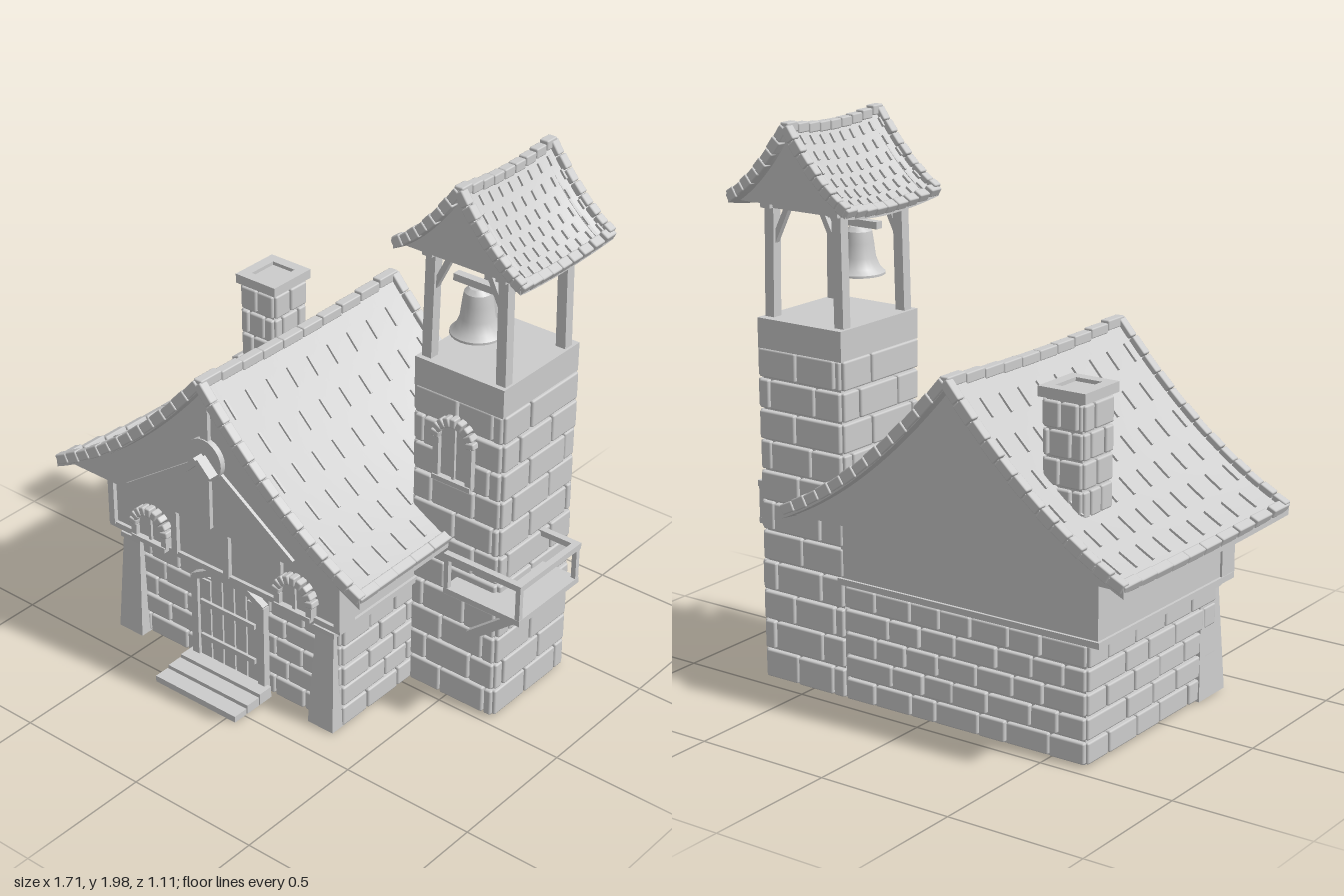
import * as THREE from 'three';
import { RoundedBoxGeometry } from 'three/addons/geometries/RoundedBoxGeometry.js';
import { toCreasedNormals } from 'three/addons/utils/BufferGeometryUtils.js';

const grey = new THREE.MeshStandardMaterial({ color: 0xcccccc });
grey.name = 'pale grey';

let seed = 7;
const rand = () => (seed = (seed * 16807) % 2147483647) / 2147483647;

function add(parent, name, geo, x = 0, y = 0, z = 0) {
  const m = new THREE.Mesh(geo, grey);
  m.name = name;
  m.position.set(x, y, z);
  parent.add(m);
  return m;
}
function group(parent, name, x = 0, y = 0, z = 0) {
  const g = new THREE.Group();
  g.name = name;
  g.position.set(x, y, z);
  parent.add(g);
  return g;
}
// Box given by its limits on each axis: x, then y, then z
function block(parent, name, x0, x1, y0, y1, z0, z1) {
  return add(parent, name, new THREE.BoxGeometry(x1 - x0, y1 - y0, z1 - z0),
    (x0 + x1) / 2, (y0 + y1) / 2, (z0 + z1) / 2);
}
// Straight timber between two points
function beam(parent, name, a, b, w, d = w) {
  const p = new THREE.Vector3(...a), q = new THREE.Vector3(...b), dir = q.clone().sub(p);
  const m = add(parent, name, new THREE.BoxGeometry(w, dir.length(), d));
  m.position.copy(p).add(q).multiplyScalar(0.5);
  m.quaternion.setFromUnitVectors(new THREE.Vector3(0, 1, 0), dir.normalize());
  return m;
}

// Solid core with staggered rounded stones on its four sides
function masonry(parent, name, x0, x1, z0, z1, y0, y1, rows, stone, proud) {
  const g = group(parent, name, (x0 + x1) / 2, 0, (z0 + z1) / 2);
  const w = x1 - x0, d = z1 - z0, h = (y1 - y0) / rows;
  add(g, name + 'Core', new THREE.BoxGeometry(w, y1 - y0, d), 0, (y0 + y1) / 2, 0);
  for (let s = 0; s < 4; s++) {
    const side = group(g, name + 'Side');
    side.rotation.y = s * Math.PI / 2;
    const len = (s % 2 ? d : w) + proud, out = (s % 2 ? w : d) / 2;
    for (let r = 0; r < rows; r++) {
      const n = Math.max(2, Math.round(len / stone));
      const cuts = [0];
      for (let i = 0; i < n; i++) {
        const c = (i + (r % 2 ? 0.35 : 0.85) + (rand() - 0.5) * 0.3) / n;
        if (c > 0.1 && c < 0.93) cuts.push(c);
      }
      cuts.push(1);
      for (let i = 0; i + 1 < cuts.length; i++) {
        const bw = (cuts[i + 1] - cuts[i]) * len - 0.006, t = proud * (1.4 + rand() * 0.6);
        add(side, 'stone', new RoundedBoxGeometry(bw, h - 0.008, t, 1, 0.007),
          ((cuts[i] + cuts[i + 1]) / 2 - 0.5) * len, y0 + h * (r + 0.5), out + proud * 0.2);
      }
    }
  }
}

// Concave gable roof with a sagging ridge, edge tiles and shingle joints
function roof(parent, name, o) {
  const g = group(parent, name, o.cx, 0, (o.z0 + o.z1) / 2);
  const halfZ = (o.z1 - o.z0) / 2;
  const point = (u, v) => {
    const t = 1 - Math.abs(u);
    return new THREE.Vector3(u * (o.half - o.bow * (1 - v * v)),
      o.eave + (o.ridge - o.eave) * (t - 0.45 * t * (1 - t)) - o.sag * (1 - v * v), v * halfZ);
  };
  const slope = (u, v) => {
    const s = Math.sign(u) || 1, a = point(u + s * 0.01, v), b = point(u - s * 0.01, v);
    return Math.atan2(a.y - b.y, a.x - b.x) + (s < 0 ? Math.PI : 0);
  };
  const bend = (zSteps, rule) => {
    const geo = new THREE.BoxGeometry(2, 1, 2, 32, 1, zSteps), p = geo.attributes.position;
    for (let i = 0; i < p.count; i++) {
      const q = rule(p.getX(i), p.getY(i) > 0, p.getZ(i));
      p.setXYZ(i, q.x, q.y, q.z);
    }
    return toCreasedNormals(geo, 0.4);
  };
  add(g, name + 'Covering', bend(20, (u, top, v) => {
    const q = point(u, v);
    if (!top) q.y -= o.thick;
    return q;
  }));
  // Gable wall at each end
  for (const end of [-1, 1]) add(g, name + 'Gable', bend(1, (u, top, v) => {
    const q = point(u * 0.97, end);
    q.y -= o.thick * 0.5;
    if (!top) q.y = Math.min(q.y - 0.005, o.base);
    q.z = end * (halfZ - o.inset - 0.015) + v * 0.015;
    return q;
  }));
  const tile = (u, v, w, h, d) => {
    const p = point(u, v);
    const m = add(g, name + 'Tile', new RoundedBoxGeometry(w, h, d, 1, 0.005), p.x, p.y, p.z);
    m.rotation.z = u ? slope(u, v) : 0;
  };
  // Verge tiles
  for (const v of [-1, 1]) for (const s of [-1, 1]) for (let i = 0; i < o.verge; i++) {
    const u = s * (i + 0.5) / o.verge;
    const l = point(s * i / o.verge, v).distanceTo(point(s * (i + 1) / o.verge, v));
    tile(u, v * (1 - 0.012 / halfZ), l - 0.003, o.rim + (i % 2) * 0.006, o.rim);
  }
  // Ridge and eave tiles
  for (let i = 0; i < o.along; i++) {
    const v = (i + 0.5) / o.along * 2 - 1, l = 2 * halfZ / o.along - 0.003;
    tile(0, v, o.rim, o.rim, l);
    for (const s of [-1, 1]) tile(s * 0.985, v, o.rim, o.rim * 0.9, l);
  }
  // Joints between shingles
  for (const s of [-1, 1]) for (let c = 0; c < o.cols; c++) for (let r = 0; r < o.rows; r++) {
    const u = s * (c + 0.8) / (o.cols + 0.6), v = ((r + (c % 2 ? 0.25 : 0.75)) / o.rows * 2 - 1) * 0.92;
    const p = point(u, v);
    const m = add(g, 'shingleJoint', new THREE.BoxGeometry(o.joint, 0.012, 0.009), p.x, p.y + 0.003, p.z);
    m.rotation.z = slope(u, v);
  }
}

// Arched window facing +z with a ring of stones
function archWindow(parent, name, x, y, z, r, legs) {
  const g = group(parent, name, x, y, z);
  const s = new THREE.Shape();
  s.moveTo(-r, -legs);
  s.lineTo(r, -legs);
  s.lineTo(r, 0);
  s.absarc(0, 0, r, 0, Math.PI, false);
  s.lineTo(-r, -legs);
  add(g, 'pane', new THREE.ExtrudeGeometry(s, { depth: 0.008, bevelEnabled: false, curveSegments: 10 }));
  block(g, 'mullion', -0.006, 0.006, -legs, r, 0, 0.018);
  for (let i = 0; i < 9; i++) {
    const a = (i + 0.5) / 9 * Math.PI;
    const m = add(g, 'archStone', new RoundedBoxGeometry(0.034, (r + 0.017) * Math.PI / 9 - 0.003, 0.04, 1, 0.005),
      Math.cos(a) * (r + 0.015), Math.sin(a) * (r + 0.015), 0.01);
    m.rotation.z = a;
  }
  for (const k of [-1, 1]) block(g, 'jamb', k * (r + 0.01) - 0.012, k * (r + 0.01) + 0.012, -legs, 0, -0.01, 0.025);
  block(g, 'sill', -r - 0.02, r + 0.02, -legs - 0.012, -legs + 0.006, -0.01, 0.03);
}

export function createModel() {
  const model = new THREE.Group();
  model.name = 'chapel';

  // House: stone ground floor and timber band above
  const house = group(model, 'house');
  masonry(house, 'houseWall', -0.635, 0.33, -0.44, 0.33, 0.015, 0.43, 5, 0.15, 0.016);
  block(house, 'upperWall', -0.685, 0.355, 0.435, 0.67, -0.45, 0.365);
  block(house, 'sillBeam', -0.695, 0.365, 0.43, 0.452, -0.46, 0.378);
  block(house, 'topBeam', -0.705, 0.375, 0.645, 0.672, -0.455, 0.395);
  for (const x of [-0.68, -0.38, -0.14, 0.095, 0.352]) block(house, 'wallPost', x - 0.013, x + 0.013, 0.445, 0.65, 0.3, 0.382);
  for (const x of [-0.49, 0.17]) archWindow(house, 'houseWindow', x, 0.495, 0.37, 0.06, 0.045);
  for (const x of [-0.605, 0.285]) {
    const b = add(house, 'buttress', new THREE.CylinderGeometry(0.055, 0.078, 0.385, 4, 1).rotateY(Math.PI / 4).toNonIndexed(), x, 0.2075, 0.305);
    b.geometry.computeVertexNormals();
    b.scale.z = 1.5;
    block(house, 'buttressCap', x - 0.046, x + 0.046, 0.395, 0.415, 0.24, 0.37);
  }

  // Door of planks with bars, frame and steps
  const door = group(model, 'door', -0.145, 0, 0.35);
  for (let i = -2; i <= 2; i++) block(door, 'plank', i * 0.055 - 0.024, i * 0.055 + 0.024, 0.04, 0.41 - i * i * 0.008, -0.01, 0.016);
  block(door, 'doorBack', -0.15, 0.15, 0.03, 0.385, -0.02, 0.008);
  for (const y of [0.14, 0.285]) block(door, 'doorBar', -0.125, 0.125, y - 0.01, y + 0.01, 0, 0.027);
  for (const s of [-1, 1]) {
    block(door, 'doorJamb', s * 0.153 - 0.015, s * 0.153 + 0.015, 0.03, 0.38, -0.01, 0.025);
    beam(door, 'doorArch', [s * 0.16, 0.375, 0.007], [s * 0.085, 0.417, 0.007], 0.024, 0.035);
  }
  block(door, 'doorLintel', -0.095, 0.095, 0.408, 0.43, -0.01, 0.025);
  for (let i = 0; i < 3; i++) block(model, 'step', -0.33, 0.04, 0.01, 0.034 + i * 0.01, 0.49 - i * 0.065, 0.55 - i * 0.065);

  // Main roof and timbers on its front gable
  roof(model, 'houseRoof', { cx: -0.16, z0: -0.555, z1: 0.475, half: 0.685, bow: 0.025, ridge: 1.245, eave: 0.69,
    sag: 0.025, thick: 0.032, base: 0.665, inset: 0.04, rim: 0.036, verge: 13, along: 10, cols: 6, rows: 9, joint: 0.075 });
  const truss = group(model, 'gableTimbers', -0.16, 0, 0.436);
  block(truss, 'kingPost', -0.017, 0.017, 0.675, 1.22, -0.01, 0.015);
  for (const s of [-1, 1]) {
    beam(truss, 'gableBrace', [s * 0.37, 0.685, 0], [s * 0.04, 0.91, 0], 0.03, 0.022);
    beam(truss, 'chevron', [s * 0.055, 0.905, 0.03], [0, 0.96, 0.03], 0.024, 0.06);
  }
  add(truss, 'gableDisc', new THREE.CylinderGeometry(0.078, 0.078, 0.03, 24).rotateX(Math.PI / 2), 0, 0.945, 0.005);

  // Chimney with a hollow cap
  const chimney = group(model, 'chimney');
  masonry(chimney, 'stack', -0.57, -0.433, -0.375, -0.22, 0.72, 1.195, 5, 0.09, 0.014);
  for (const s of [-1, 1]) {
    block(chimney, 'capSide', -0.502 + s * 0.07 - 0.02, -0.502 + s * 0.07 + 0.02, 1.2, 1.235, -0.395, -0.2);
    block(chimney, 'capEnd', -0.59, -0.414, 1.2, 1.235, -0.2975 + s * 0.0775 - 0.02, -0.2975 + s * 0.0775 + 0.02);
  }
  block(chimney, 'capFloor', -0.56, -0.44, 1.19, 1.222, -0.37, -0.22);

  // Tower
  const tower = group(model, 'tower');
  masonry(tower, 'towerWall', 0.352, 0.69, -0.437, -0.048, 0.015, 1.21, 11, 0.17, 0.018);
  block(tower, 'towerTop', 0.34, 0.7, 1.205, 1.31, -0.45, -0.033);
  archWindow(tower, 'towerWindow', 0.52, 1.06, -0.03, 0.058, 0.15);

  // Belfry posts, plates and braces
  const belfry = group(model, 'belfry', 0.522, 0, -0.235);
  for (const sx of [-1, 1]) {
    for (const sz of [-1, 1]) {
      beam(belfry, 'belfryPost', [sx * 0.15, 1.3, sz * 0.165], [sx * 0.143, 1.72, sz * 0.162], 0.038);
      beam(belfry, 'belfryBrace', [sx * 0.14, 1.56, sz * 0.162], [sx * 0.07, 1.7, sz * 0.162], 0.02);
    }
    block(belfry, 'sidePlate', sx * 0.145 - 0.02, sx * 0.145 + 0.02, 1.685, 1.72, -0.2, 0.2);
    block(belfry, 'endPlate', -0.17, 0.17, 1.685, 1.72, sx * 0.163 - 0.02, sx * 0.163 + 0.02);
  }
  const bellShape = [[0, 0.165], [0.03, 0.165], [0.046, 0.15], [0.052, 0.11], [0.058, 0.06], [0.072, 0.025],
    [0.09, 0.008], [0.09, 0], [0.078, 0], [0.05, 0.06], [0, 0.14]];
  add(belfry, 'bell', toCreasedNormals(new THREE.LatheGeometry(bellShape.map(p => new THREE.Vector2(...p)).reverse(), 24), 0.6), 0, 1.425, 0.115);
  add(belfry, 'clapper', new THREE.SphereGeometry(0.018, 12, 8), 0, 1.446, 0.115);
  block(belfry, 'yoke', -0.09, 0.09, 1.59, 1.615, 0.1, 0.13);
  roof(model, 'towerRoof', { cx: 0.53, z0: -0.49, z1: 0.015, half: 0.25, bow: 0.015, ridge: 1.98, eave: 1.725,
    sag: 0.025, thick: 0.025, base: 1.705, inset: 0.035, rim: 0.034, verge: 8, along: 9, cols: 6, rows: 9, joint: 0.034 });

  // Balcony around the tower's corner
  const balcony = group(model, 'balcony');
  block(balcony, 'deck', 0.54, 0.855, 0.508, 0.53, -0.29, 0.05);
  for (const [x, z] of [[0.845, 0.04], [0.845, -0.28], [0.55, 0.04]]) block(balcony, 'railPost', x - 0.009, x + 0.009, 0.52, 0.665, z - 0.009, z + 0.009);
  block(balcony, 'frontRail', 0.54, 0.857, 0.645, 0.667, 0.028, 0.052);
  block(balcony, 'sideRail', 0.833, 0.857, 0.645, 0.667, -0.292, 0.052);
  block(balcony, 'backRail', 0.69, 0.857, 0.645, 0.667, -0.292, -0.268);
  for (const z of [0, -0.26]) beam(balcony, 'bracket', [0.625, 0.35, z], [0.815, 0.505, z], 0.032);

  return model;
}
